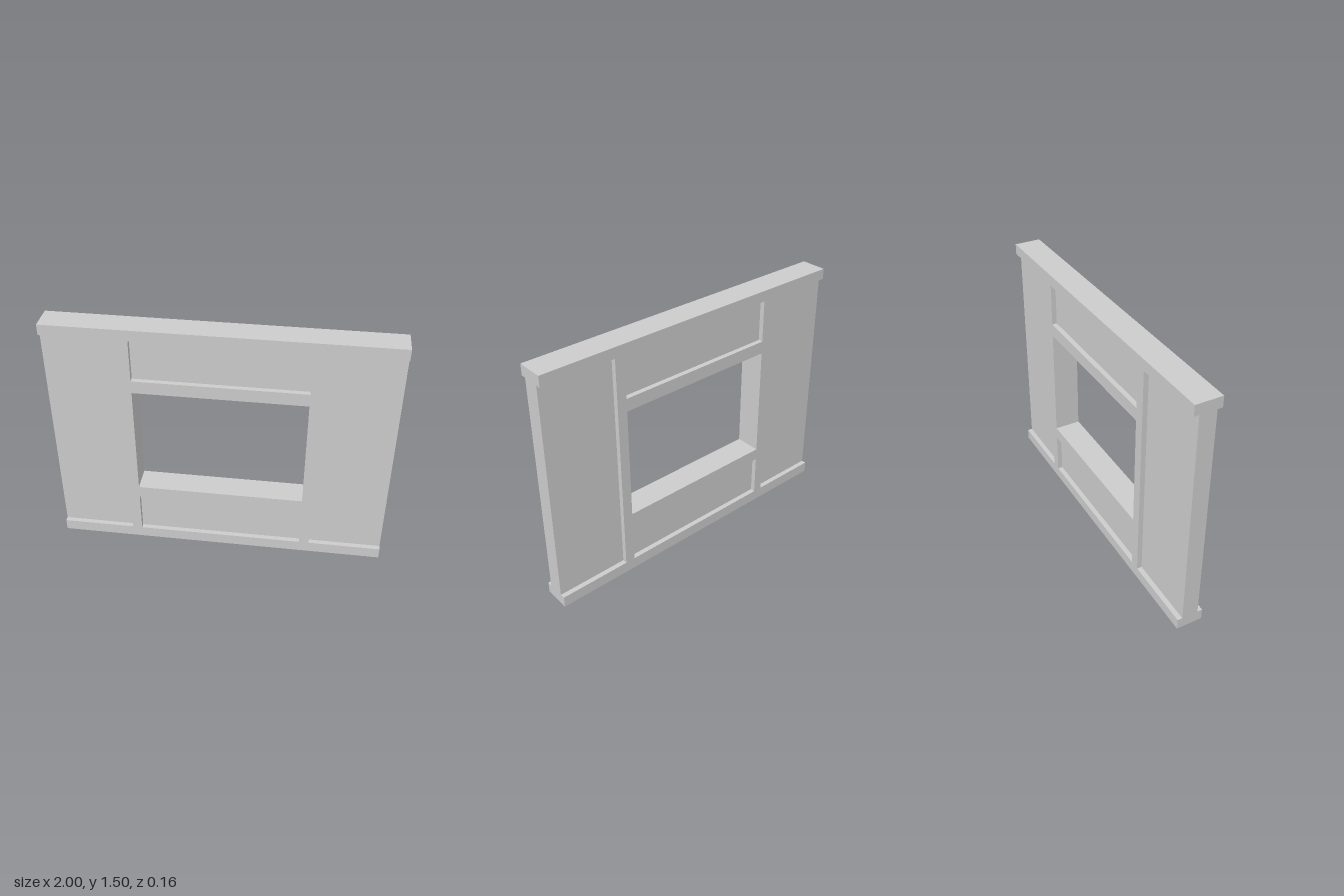
import * as THREE from 'three';

const DEPTH = 0.16, PANEL_DEPTH = 0.1, HEIGHT = 1.5;
const RAIL_LOW = 0.07, RAIL_HIGH = 1.435; // inner edges of the bottom and top rails
const STILE_IN = 0.5, STILE_OUT = 0.56;   // uprights beside the window
const SILL = [0.33, 0.407], HEAD = [1.178, 1.1]; // panel side, window side

const rectPath = (x0, y0, x1, y1) => new THREE.Path(
  [[x0, y0], [x1, y0], [x1, y1], [x0, y1]].map(([x, y]) => new THREE.Vector2(x, y)));

export function createModel() {
  const group = new THREE.Group();
  const material = new THREE.MeshStandardMaterial({ color: 0xcccccc, flatShading: true });

  // Full-depth frame: long rails joined by two stiles, with window and panel openings
  const right = [[1, 0], [1, RAIL_LOW], [STILE_OUT, RAIL_LOW],
    [STILE_OUT, RAIL_HIGH], [1, RAIL_HIGH], [1, HEIGHT]];
  const left = right.map(([x, y]) => [-x, y]).reverse();
  const shape = new THREE.Shape([...right, ...left].map(([x, y]) => new THREE.Vector2(x, y)));
  shape.holes.push(
    rectPath(-STILE_IN, RAIL_LOW, STILE_IN, SILL[0]),
    rectPath(-STILE_IN, SILL[1], STILE_IN, HEAD[1]),
    rectPath(-STILE_IN, HEAD[0], STILE_IN, RAIL_HIGH));
  const frameGeometry = new THREE.ExtrudeGeometry(shape, { depth: DEPTH, bevelEnabled: false });
  frameGeometry.translate(0, 0, -DEPTH / 2);
  const frame = new THREE.Mesh(frameGeometry, material);
  frame.name = 'wallFrame';
  group.add(frame);

  // Thinner panels, recessed on both faces
  const addPanel = (name, x0, y0, x1, y1) => {
    const panel = new THREE.Mesh(new THREE.BoxGeometry(x1 - x0, y1 - y0, PANEL_DEPTH), material);
    panel.position.set((x0 + x1) / 2, (y0 + y1) / 2, 0);
    panel.name = name;
    group.add(panel);
  };
  addPanel('leftPanel', STILE_OUT, RAIL_LOW, 1, RAIL_HIGH);
  addPanel('rightPanel', -1, RAIL_LOW, -STILE_OUT, RAIL_HIGH);
  addPanel('lowerPanel', -STILE_IN, RAIL_LOW, STILE_IN, SILL[0]);
  addPanel('upperPanel', -STILE_IN, HEAD[0], STILE_IN, RAIL_HIGH);

  return group;
}
